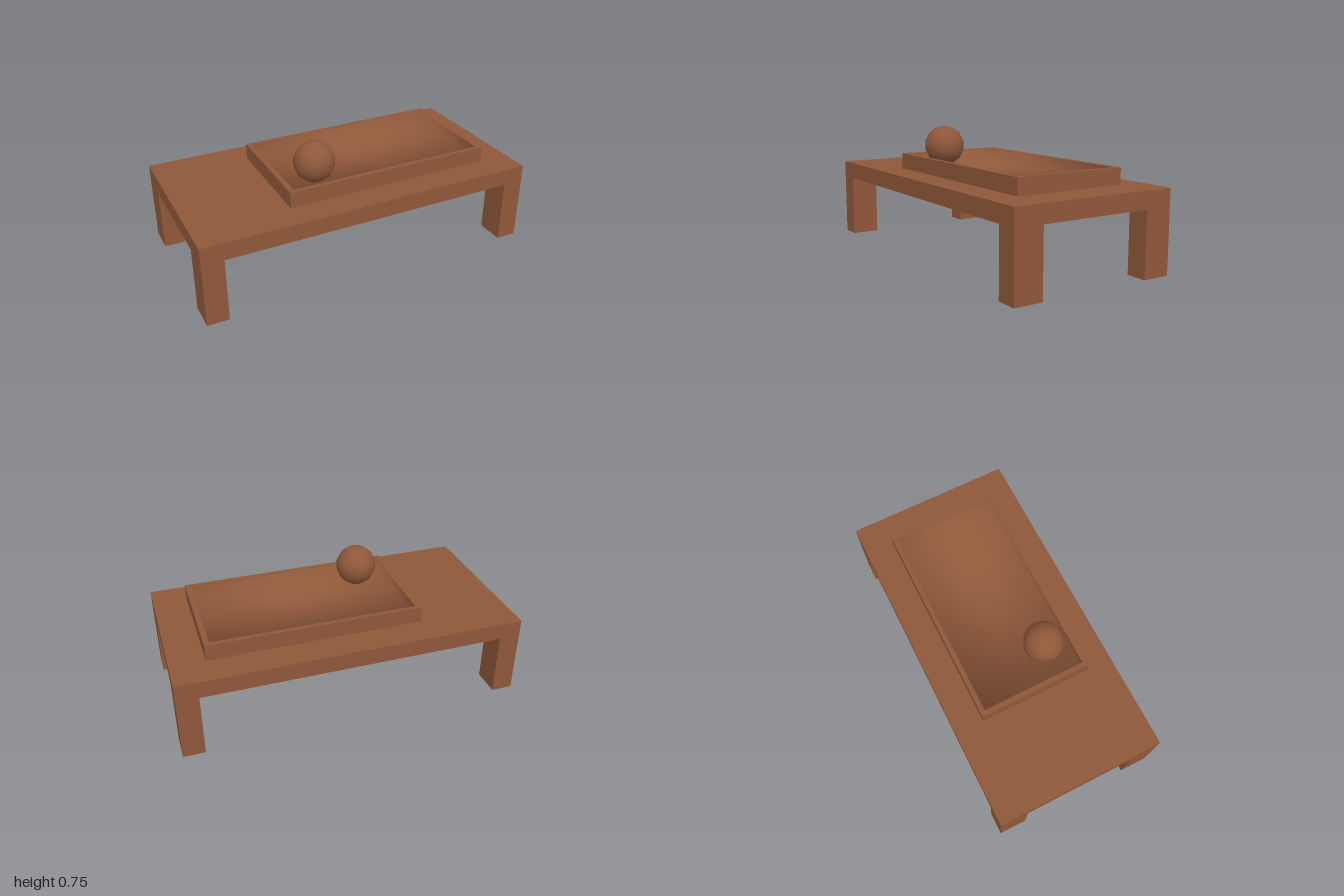
import * as THREE from 'three';

export function createModel() {
  const model = new THREE.Group();
  const wood = new THREE.MeshStandardMaterial({ color: 0x8f583a });
  wood.name = 'brown';

  const add = (name, geometry, x, y, z, parent = model) => {
    const mesh = new THREE.Mesh(geometry, wood);
    mesh.name = name;
    mesh.position.set(x, y, z);
    parent.add(mesh);
    return mesh;
  };

  // Table top and four corner legs
  const legHeight = 0.376, topHeight = 0.1;
  add('tableTop', new THREE.BoxGeometry(2, topHeight, 1), 0, legHeight + topHeight / 2, 0);
  const leg = new THREE.BoxGeometry(0.125, legHeight, 0.167);
  for (const [end, sx] of [['Left', 1], ['Right', -1]]) {
    for (const [side, sz] of [['front', 1], ['back', -1]]) {
      add(`${side}${end}Leg`, leg, sx * 0.9375, legHeight / 2, sz * 0.4165);
    }
  }

  // Shallow tray, floating a hair above the table
  const tray = new THREE.Group();
  tray.name = 'tray';
  tray.position.set(0.18, 0.479, 0.007);
  model.add(tray);
  const hx = 0.622, hz = 0.337, ix = 0.592, iz = 0.31;
  const height = 0.095, floor = 0.034;
  const rectangle = (Type, x, z) => new Type([
    new THREE.Vector2(-x, -z), new THREE.Vector2(x, -z),
    new THREE.Vector2(x, z), new THREE.Vector2(-x, z),
  ]);
  const frame = rectangle(THREE.Shape, hx, hz);
  frame.holes.push(rectangle(THREE.Path, ix, iz));
  const frameGeometry = new THREE.ExtrudeGeometry(frame, { depth: height, bevelEnabled: false });
  frameGeometry.rotateX(-Math.PI / 2);
  add('trayFrame', frameGeometry, 0, 0, 0, tray);
  add('trayBottom', new THREE.BoxGeometry(ix * 2, 0.02, iz * 2), 0, 0.01, 0, tray);

  // Basin: outer ring of the grid rises to the rim, normals blend walls into floor
  const n = 12;
  const basin = new THREE.PlaneGeometry(2, 2, n, n).rotateX(-Math.PI / 2);
  const position = basin.attributes.position, normal = basin.attributes.normal;
  const v = new THREE.Vector3();
  const inner = 1 - 2 / n;
  for (let i = 0; i < position.count; i++) {
    const u = position.getX(i), w = position.getZ(i);
    const onRim = Math.max(Math.abs(u), Math.abs(w)) > 0.999;
    const fu = THREE.MathUtils.clamp(u / inner, -1, 1);
    const fw = THREE.MathUtils.clamp(w / inner, -1, 1);
    const inset = onRim ? 0.001 : 0.006;
    position.setXYZ(i, fu * (ix - inset), onRim ? height : floor, fw * (iz - inset));
    v.set(-fu, onRim ? 0.6 : 1, -fw).normalize();
    normal.setXYZ(i, v.x, v.y, v.z);
  }
  add('trayBasin', basin, 0, 0, 0, tray);

  // Ball resting in the tray
  add('ball', new THREE.SphereGeometry(0.12, 14, 7), -0.22, 0.634, 0.167);

  return model;
}
